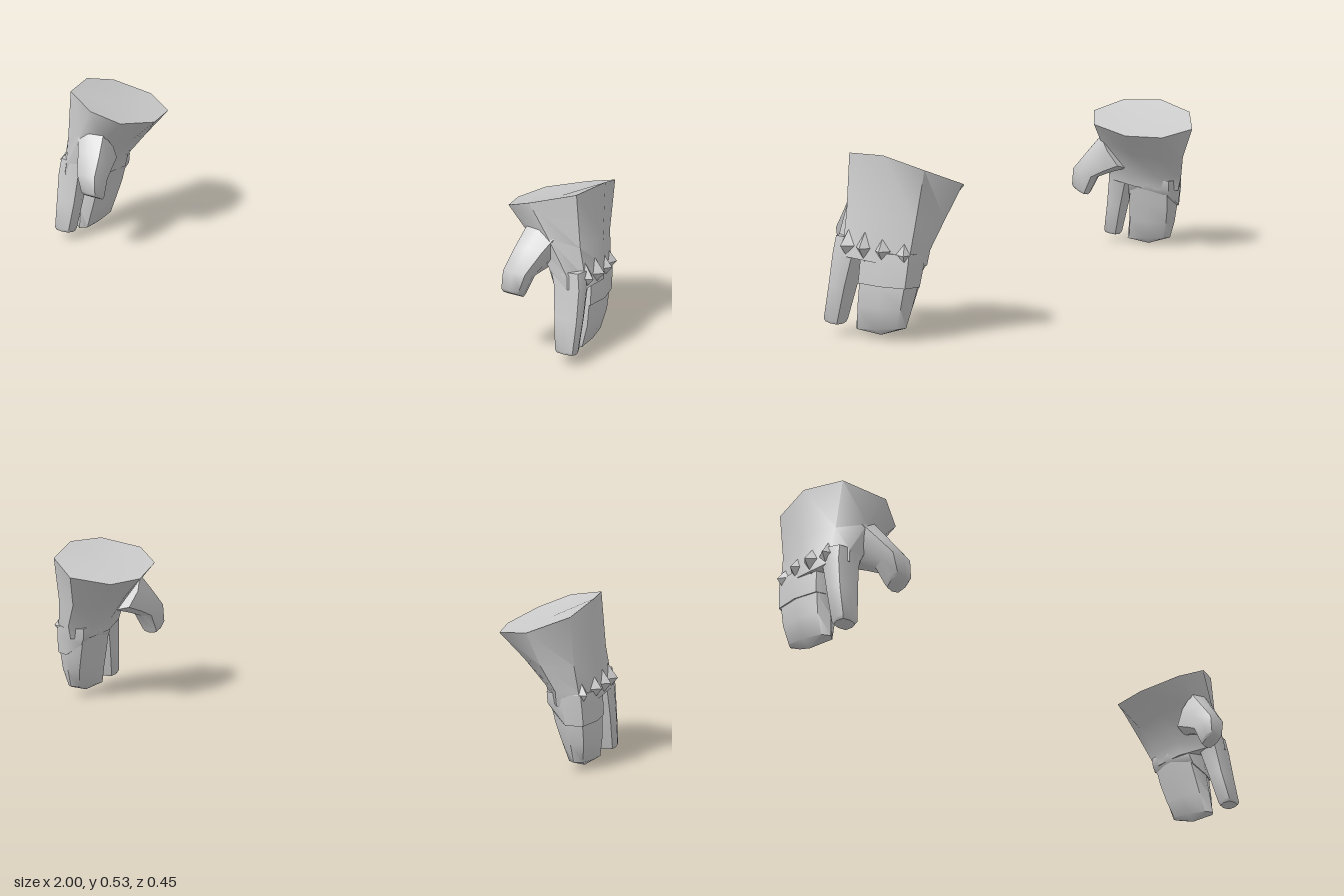
import * as THREE from 'three';
import { toCreasedNormals } from 'three/addons/utils/BufferGeometryUtils.js';

const material = new THREE.MeshStandardMaterial({ color: 0xcccccc, side: THREE.DoubleSide });

// Rounded eight-point ring spanning x0..x1, from its back edge (zb, yb) to its front edge (zf, yf)
function ring(x0, x1, zb, yb, zf, yf, innerLift = 0) {
  const soft = (v) => Math.sign(v) * Math.pow(Math.abs(v), 0.65);
  return Array.from({ length: 8 }, (_, i) => {
    const a = (i / 8) * Math.PI * 2;
    const u = soft(Math.cos(a)), t = (soft(Math.sin(a)) + 1) / 2;
    const lift = innerLift * Math.max(0, -Math.cos(a));
    return [x0 + (x1 - x0) * (u + 1) / 2, yb + (yf - yb) * t + lift, zb + (zf - zb) * t];
  });
}

// Skin through rings from top to bottom, closed at both ends
function loft(name, rings, side, topDrop = 0, bottomDrop = 0) {
  const n = 8;
  const rows = rings.map((r) => {
    const m = r.map(([x, y, z]) => [x * side, y, z]);
    return side < 0 ? m.reverse() : m;
  });
  const centre = (r, drop) => {
    const c = [0, 1, 2].map((k) => r.reduce((sum, p) => sum + p[k], 0) / n);
    c[1] -= drop;
    return c;
  };
  const last = rows.length - 1;
  const points = [...rows.flat(), centre(rows[0], topDrop), centre(rows[last], bottomDrop)];
  const top = rows.length * n, bottom = top + 1;
  const index = [];
  for (let i = 0; i < n; i++) {
    const j = (i + 1) % n;
    for (let r = 0; r < last; r++) {
      const a = r * n + i, b = r * n + j;
      index.push(a, b, a + n, b, b + n, a + n);
    }
    index.push(top, j, i, bottom, last * n + i, last * n + j);
  }
  const geometry = new THREE.BufferGeometry();
  geometry.setAttribute('position', new THREE.Float32BufferAttribute(points.flat(), 3));
  geometry.setIndex(index);
  const mesh = new THREE.Mesh(toCreasedNormals(geometry, 0.9), material);
  mesh.name = name;
  return mesh;
}

function glove(side) {
  const group = new THREE.Group();
  group.name = side > 0 ? 'leftGlove' : 'rightGlove';

  // Flared, slanted cuff narrowing to the knuckles
  group.add(loft('cuffAndPalm', [
    [[.957, .539, -.046], [.925, .536, .086], [.80, .505, .143], [.712, .465, .10],
     [.675, .435, -.04], [.707, .432, -.165], [.824, .454, -.228], [.936, .502, -.168]],
    [[.962, .37, -.04], [.945, .37, .085], [.86, .40, .13], [.785, .39, .105],
     [.752, .365, -.02], [.77, .35, -.12], [.85, .35, -.182], [.94, .35, -.14]],
    [[.973, .28, -.03], [.965, .28, .085], [.925, .29, .127], [.86, .30, .115],
     [.825, .28, 0], [.835, .27, -.10], [.89, .27, -.158], [.952, .27, -.13]],
    [[.976, .235, -.03], [.97, .245, .09], [.93, .25, .132], [.875, .25, .11],
     [.838, .235, 0], [.845, .225, -.095], [.89, .224, -.147], [.953, .224, -.122]],
  ], side, 0.015));

  // Sleeve over the joined fingers, its hem raised on the palm side
  group.add(loft('fingerSleeve', [
    ring(.835, .972, -.148, .26, .045, .265),
    ring(.838, .976, -.146, .224, .05, .24),
    ring(.855, .978, -.138, .165, .056, .17, .05),
  ], side));

  // Joined fingers
  group.add(loft('joinedFingers', [
    ring(.845, .968, -.138, .23, .045, .235),
    ring(.862, .972, -.132, .165, .054, .168),
    ring(.882, .97, -.119, .105, .06, .10),
    ring(.902, .957, -.10, .045, .068, .032),
  ], side, 0, 0.02));

  // Separate index finger
  group.add(loft('indexFinger', [
    ring(.855, .966, .035, .30, .124, .30),
    ring(.872, .974, .05, .245, .13, .25),
    ring(.885, .976, .076, .153, .142, .155),
    ring(.902, .974, .102, .05, .159, .058),
    ring(.908, .969, .106, .041, .155, .049),
  ], side));

  // Thumb leaving the palm forwards, then turning down
  group.add(loft('thumb', [
    ring(.765, .90, .03, .30, .115, .43),
    ring(.752, .862, .08, .285, .163, .365),
    ring(.742, .832, .122, .268, .21, .302),
    ring(.742, .813, .149, .212, .211, .243),
    ring(.748, .807, .154, .204, .206, .233),
  ], side));

  // Diamond studs across the knuckles: [x, y, z, yaw]
  const studs = [[.972, .277, .075, -.25], [.978, .274, .013, 0], [.975, .269, -.048, .1], [.96, .26, -.114, .4]];
  for (const [x, y, z, yaw] of studs) {
    const geometry = new THREE.ConeGeometry(1, 1, 4).toNonIndexed();
    geometry.rotateZ(-side * Math.PI / 2);
    geometry.scale(.036, .047, .034);
    geometry.computeVertexNormals();
    const stud = new THREE.Mesh(geometry, material);
    stud.name = 'knuckleStud';
    stud.position.set(side * x, y, z);
    stud.rotation.y = side * yaw;
    group.add(stud);
  }
  return group;
}

export function createModel() {
  const model = new THREE.Group();
  model.name = 'glovePair';
  const left = glove(1), right = glove(-1);
  right.position.set(-.003, -.011, .015);
  model.add(left, right);
  return model;
}
